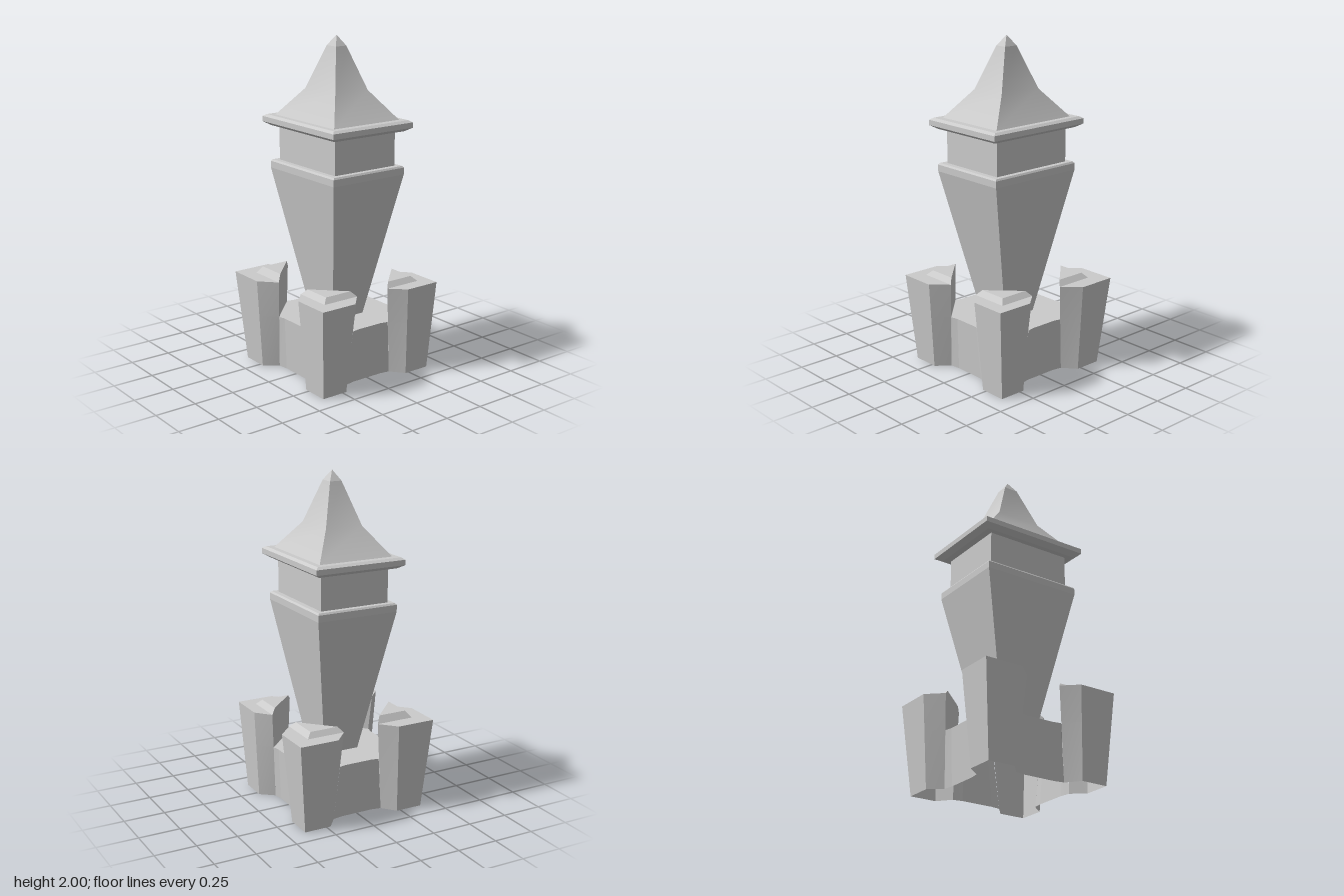
import * as THREE from 'three';

const grey = new THREE.MeshStandardMaterial({ color: 0xcccccc, side: THREE.DoubleSide });

// Skins rings of [x, y, z] points (counterclockwise seen from above), with an optional flat lid.
// Each side keeps its own vertices, so corners stay sharp; smooth blends shading up a side.
function loft(name, rings, { lid = true, smooth = false, skip = () => false } = {}) {
  const pos = [], index = [], n = rings[0].length;
  const add = (p) => pos.push(...p) / 3 - 1;
  for (let i = 0; i < n; i++) {
    const j = (i + 1) % n;
    let low = null;
    for (let k = 0; k + 1 < rings.length; k++) {
      if (skip(k, i)) continue;
      if (!smooth || !low) low = [add(rings[k][i]), add(rings[k][j])];
      const [a, b] = low;
      const d = add(rings[k + 1][i]), c = add(rings[k + 1][j]);
      index.push(a, b, c, a, c, d);
      low = [d, c];
    }
  }
  if (lid) {
    const top = rings[rings.length - 1];
    const mid = add([0, 1, 2].map((c) => top.reduce((s, p) => s + p[c], 0) / n));
    const ids = top.map(add);
    ids.forEach((v, i) => index.push(v, ids[(i + 1) % n], mid));
  }
  const geo = new THREE.BufferGeometry();
  geo.setAttribute('position', new THREE.Float32BufferAttribute(pos, 3));
  geo.setIndex(index);
  geo.computeVertexNormals();
  const mesh = new THREE.Mesh(geo, grey);
  mesh.name = name;
  return mesh;
}

// Rectangular ring from [half width, y, half depth]
const rect = ([w, y, d]) => [[-w, y, d], [w, y, d], [w, y, -d], [-w, y, -d]];
const ring = (pts, y) => pts.map(([x, z]) => [x, y, z]);
const LEDGE = 0.33;

// Five-sided corner pier, flaring upward, with a bevelled triangular cap
function cornerPier(name, sx, sz, ox, oz, inner, height, capHeight) {
  const place = (pts) => {
    const out = pts.map(([x, z]) => [x * sx, z * sz]);
    return sx * sz < 0 ? out.reverse() : out;
  };
  const foot = place([[0.16, 0.31], [0.225, 0.39], [0.39, 0.39], [0.39, 0.225], [0.31, 0.16]]);
  const head = place([[inner, 0.345], [0.205, oz], [ox, oz], [ox, 0.2], [0.345, 0.113]]);
  const t = LEDGE / height;
  const middle = foot.map(([x, z], i) => [x + (head[i][0] - x) * t, z + (head[i][1] - z) * t]);

  const pier = new THREE.Group();
  pier.name = name;
  // the inner face is left open below the ledge, where the pier joins the hollow base
  pier.add(loft('pierBody', [ring(foot, 0), ring(middle, LEDGE), ring(head, height)],
    { skip: (k, i) => k === 0 && i === 4 }));
  const capFoot = place([[inner, 0.345], [0.345, 0.345], [0.345, 0.113]]);
  const capHead = place([[inner + 0.027, 0.315], [0.317, 0.315], [0.317, 0.14]]);
  pier.add(loft('pierCap', [ring(capFoot, height), ring(capHead, capHeight)]));
  return pier;
}

export function createModel() {
  const model = new THREE.Group();
  model.name = 'tower';

  // Hollow base: four slightly recessed walls and a ledge, open underneath
  const outline = (edgeX, edgeZ, flatX, flatZ) => {
    const side = [[-edgeX, edgeZ], [-flatX, flatZ], [flatX, flatZ], [edgeX, edgeZ]];
    const turns = [(x, z) => [x, z], (x, z) => [z, -x], (x, z) => [-x, -z], (x, z) => [-z, x]];
    return turns.flatMap((turn) => side.map(([x, z]) => turn(x, z)));
  };
  model.add(loft('base',
    [ring(outline(0.16, 0.31, 0.1, 0.3), 0), ring(outline(0.13, 0.331, 0.085, 0.321), LEDGE)],
    { skip: (k, i) => i % 4 === 3 }));

  // Corner piers
  model.add(
    cornerPier('frontRightPier', -1, 1, 0.44, 0.435, 0.107, 0.555, 0.595),
    cornerPier('backRightPier', -1, -1, 0.44, 0.44, 0.107, 0.545, 0.575),
    cornerPier('frontLeftPier', 1, 1, 0.44, 0.427, 0.115, 0.545, 0.575),
    cornerPier('backLeftPier', 1, -1, 0.43, 0.422, 0.115, 0.545, 0.575));

  // Central tower, as stacked rectangular profiles
  const tower = new THREE.Group();
  tower.name = 'centralTower';
  tower.position.x = 0.003;
  const part = (name, profile, options) => tower.add(loft(name, profile.map(rect), options));
  part('shaft', [[0.112, LEDGE, 0.112], [0.308, 1.205, 0.255], [0.308, 1.245, 0.255],
    [0.3, 1.255, 0.247], [0.268, 1.255, 0.217]]);
  part('neck', [[0.268, 1.25, 0.217], [0.268, 1.465, 0.217]], { lid: false });
  part('eaves', [[0.268, 1.46, 0.217], [0.31, 1.46, 0.25], [0.346, 1.482, 0.285],
    [0.346, 1.513, 0.285], [0.325, 1.525, 0.267], [0.284, 1.525, 0.233]]);
  part('roof', [[0.284, 1.525, 0.233], [0.142, 1.69, 0.117], [0.044, 1.94, 0.037]],
    { lid: false, smooth: true });
  part('finial', [[0.044, 1.94, 0.037], [0.0005, 2, 0.0005]]);
  model.add(tower);

  return model;
}
